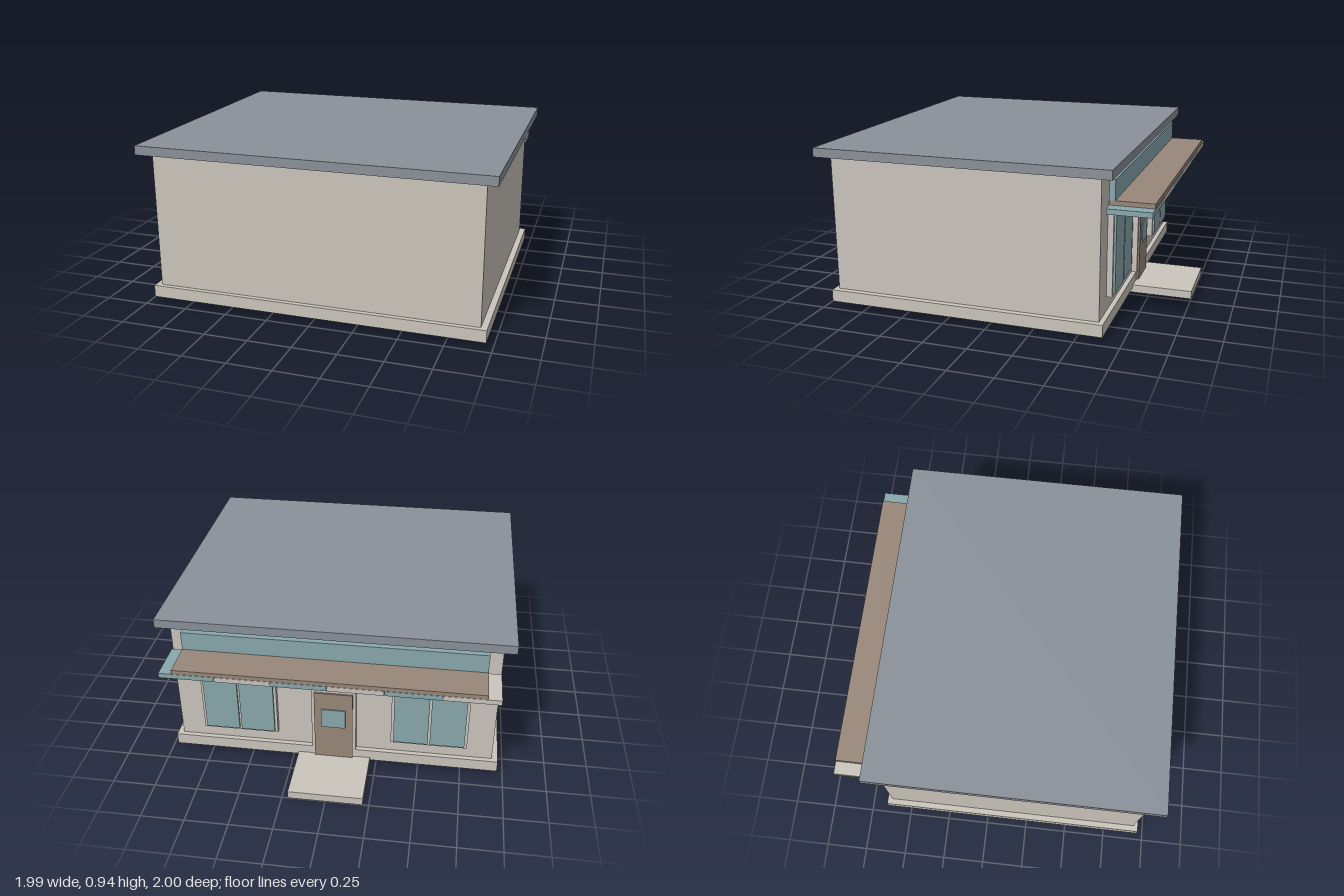
import * as THREE from 'three';

const mat = (name, color) => {
  const m = new THREE.MeshStandardMaterial({ color });
  m.name = name;
  return m;
};

export function createModel() {
  const root = new THREE.Group();
  root.name = 'shop';
  const stone = mat('warm stone', 0xcac5bc);
  const slate = mat('slate', 0x8a9199);
  const brown = mat('brown', 0x998779);
  const teal = mat('teal', 0x88a8ad);

  // box given by its extents on each axis
  const box = (name, material, [x0, x1], [y0, y1], [z0, z1], parent = root) => {
    const mesh = new THREE.Mesh(new THREE.BoxGeometry(x1 - x0, y1 - y0, z1 - z0), material);
    mesh.position.set((x0 + x1) / 2, (y0 + y1) / 2, (z0 + z1) / 2);
    mesh.name = name;
    parent.add(mesh);
  };

  // Main building
  box('base', stone, [-0.965, 0.965], [0.03, 0.1], [-0.648, 0.958]);
  box('walls', stone, [-0.93, 0.93], [0.1, 0.888], [-0.62, 0.93]);
  box('roof', slate, [-0.995, 0.995], [0.888, 0.94], [-0.69, 1]);

  // Entrance
  box('doorstep', stone, [-0.215, 0.215], [0, 0.047], [-1, -0.635]);
  const door = new THREE.Group();
  door.name = 'door';
  root.add(door);
  box('doorFrame', stone, [-0.13, 0.13], [0.015, 0.525], [-0.652, -0.615], door);
  box('doorLeaf', brown, [-0.112, 0.112], [0.047, 0.505], [-0.662, -0.64], door);
  box('doorWindow', teal, [-0.07, 0.07], [0.27, 0.395], [-0.669, -0.66], door);

  // Shop windows, two panes each
  for (const side of [-1, 1]) {
    const win = new THREE.Group();
    win.name = side > 0 ? 'windowLeft' : 'windowRight';
    win.position.x = side * 0.557;
    root.add(win);
    box('windowFrame', stone, [-0.222, 0.222], [0.185, 0.717], [-0.652, -0.62], win);
    for (const x of [-0.106, 0.106])
      box('windowPane', teal, [x - 0.1, x + 0.1], [0.2, 0.705], [-0.664, -0.65], win);
  }

  // Awning: striped panels under a brown slab
  const awning = new THREE.Group();
  awning.name = 'awning';
  root.add(awning);
  for (let i = 0; i < 6; i++) {
    const x = -0.775 + i * 0.31;
    box('awningPanel', i % 2 ? teal : stone, [x - 0.154, x + 0.154], [0.693, 0.722], [-0.885, -0.645], awning);
  }
  box('awningSlab', brown, [-0.855, 0.855], [0.722, 0.747], [-0.883, -0.642], awning);

  // Fascia board
  box('fasciaBoard', teal, [-0.855, 0.855], [0.747, 0.858], [-0.675, -0.642]);

  return root;
}
